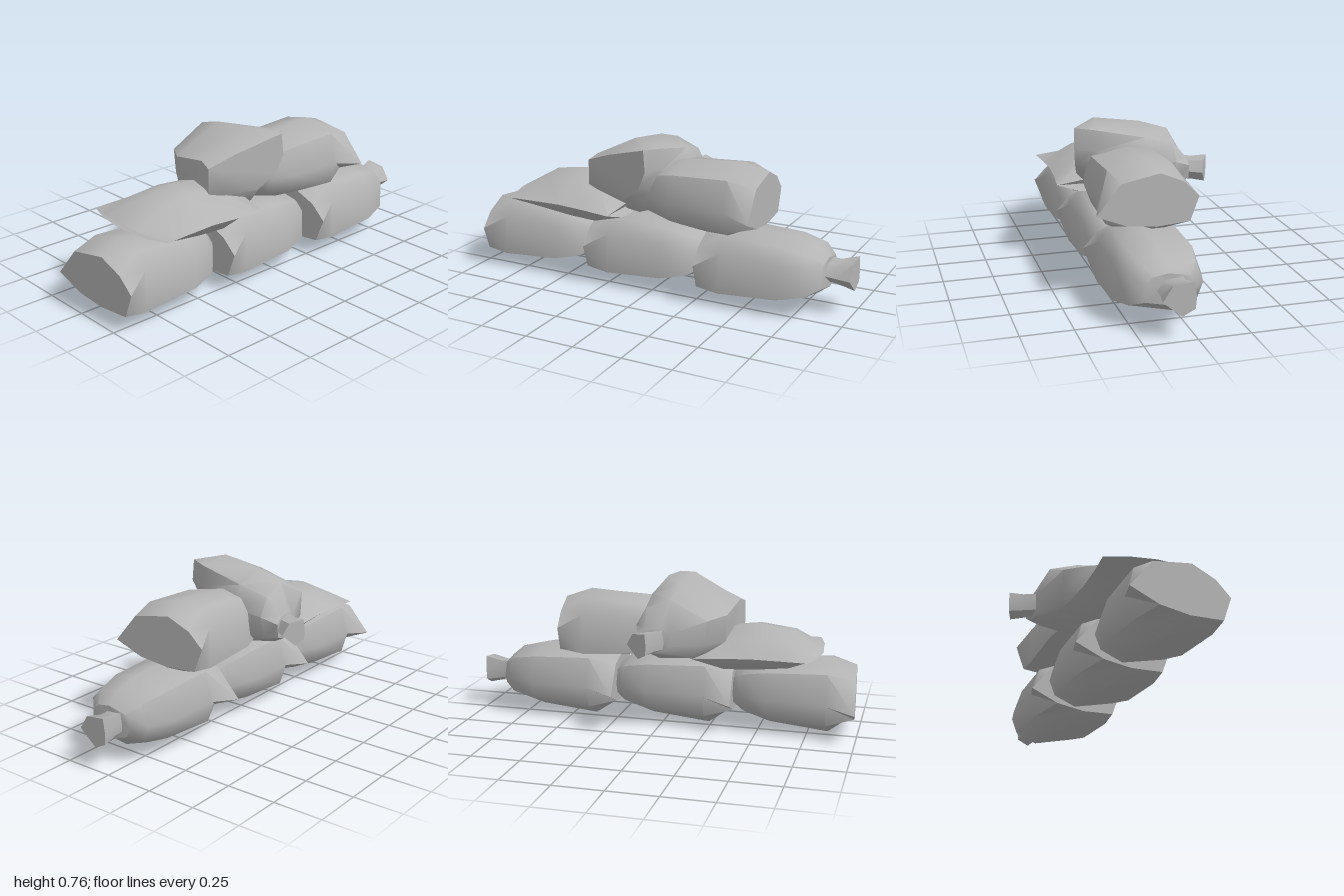
import * as THREE from 'three';
import { toCreasedNormals } from 'three/addons/utils/BufferGeometryUtils.js';

const cloth = new THREE.MeshStandardMaterial({ color: 0xb4b4b4 });
cloth.name = 'grey sackcloth';

// Skin a closed surface through rings of [x, y, z] points and cap both ends.
function loft(name, rings, crease = 0.85) {
  const n = rings[0].length, pos = [];
  const tri = (a, b, c) => pos.push(...a, ...b, ...c);
  for (let r = 0; r < rings.length - 1; r++) {
    for (let i = 0; i < n; i++) {
      const j = (i + 1) % n, A = rings[r], B = rings[r + 1];
      tri(A[i], A[j], B[j]);
      tri(A[i], B[j], B[i]);
    }
  }
  const first = rings[0], last = rings[rings.length - 1];
  for (let i = 1; i < n - 1; i++) {
    tri(first[0], first[i + 1], first[i]);
    tri(last[0], last[i], last[i + 1]);
  }
  // Turn the faces outward whichever way the rings run
  const p = (k) => new THREE.Vector3(pos[k], pos[k + 1], pos[k + 2]);
  let volume = 0;
  for (let k = 0; k < pos.length; k += 9) volume += p(k).dot(p(k + 3).cross(p(k + 6)));
  if (volume < 0) {
    for (let k = 0; k < pos.length; k += 9) {
      for (let c = 0; c < 3; c++) [pos[k + 3 + c], pos[k + 6 + c]] = [pos[k + 6 + c], pos[k + 3 + c]];
    }
  }
  const geo = new THREE.BufferGeometry();
  geo.setAttribute('position', new THREE.Float32BufferAttribute(pos, 3));
  const mesh = new THREE.Mesh(toCreasedNormals(geo, crease), cloth);
  mesh.name = name;
  return mesh;
}

// Sections as [z, y], used along the length of a filled sack
const END = [[-.255, .165], [-.135, .31], [.06, .343], [.18, .29], [.255, .215], [.21, .095], [.04, .085], [-.11, .105]];
const BODY = [[-.21, .19], [-.165, .34], [.02, .385], [.15, .357], [.21, .28], [.215, .08], [-.04, .008], [-.175, .078]];
const NECK = [[.075, .2], [.03, .27], [-.07, .283], [-.08, .21], [-.075, .155], [-.015, .125]];

// Scale a section about the sack's axis and place it at length x
const section = (shape, x, sz, sy, cy = .2, skew = 0) =>
  shape.map(([z, y]) => [x + skew * z, cy + (y - .2) * sy, z * sz]);

// Filled sack lying along +x: flared flat base, round body, tied neck
function sack(name) {
  const g = new THREE.Group();
  g.name = name;
  g.add(loft('sackBody', [
    section(END, .02, 1, 1, .2, .07),
    section(BODY, .15, 1, 1),
    section(BODY, .45, .99, .87, .205),
    section(BODY, .58, .83, .68, .208),
    section(BODY, .64, .54, .42, .205),
  ]));
  g.add(loft('sackNeck', [
    section(NECK, .61, .85, .7, .205),
    section(NECK, .68, .82, .72, .2),
    section(NECK, .765, 1, 1),
  ]));
  return g;
}

// Sack slumped across the top of the pile, running front to back
function crossSack() {
  const g = new THREE.Group();
  g.name = 'crossSack';
  const rings = [
    [.26, .29, -.2, [[-.385, .63], [-.385, .5], [-.31, .48], [-.13, .48], [-.04, .55], [0, .64], [-.01, .748], [-.25, .68]]],
    [.19, .2, -.12, [[-.37, .65], [-.37, .47], [-.29, .4], [-.1, .39], [.01, .5], [.04, .63], [.03, .74], [-.12, .771]]],
    [-.05, .1, -.12, [[-.345, .61], [-.34, .47], [-.24, .39], [-.02, .375], [.08, .45], [.1, .58], [.05, .69], [-.1, .742]]],
    [-.19, 0, 0, [[-.27, .6], [-.26, .48], [-.2, .41], [-.03, .4], [.06, .44], [.09, .56], [.04, .65], [-.08, .7]]],
    [-.26, -.1, -.04, [[-.1, .54], [-.1, .48], [-.06, .45], [0, .44], [.05, .46], [.06, .53], [.02, .56], [-.05, .57]]],
  ];
  g.add(loft('sackBody', rings.map(([z, skew, cx, pts]) => pts.map(([x, y]) => [x, y, z + skew * (x - cx)]))));
  const neck = loft('sackNeck', [
    section(NECK, 0, .7, .72, 0),
    section(NECK, .07, .68, .72, 0),
    section(NECK, .14, .8, .82, 0),
  ]);
  neck.position.set(-.02, .495, -.23);
  neck.rotation.y = 1.1;
  g.add(neck);
  return g;
}

// Half-empty sack flattened into a pillow with pinched corners
function flatSack() {
  const across = [[-1, 0], [-.6, .65], [-.1, 1], [.35, .85], [1, 0], [.6, -.85], [0, -1], [-.6, -.8]];
  const stations = [
    // x, half width, seam height, rise, drop, end bulge
    [-.765, .278, .42, .012, .012, -.045],
    [-.65, .265, .418, .1, .075, -.01],
    [-.48, .255, .416, .129, .1, 0],
    [-.33, .262, .41, .115, .1, 0],
    [-.185, .278, .405, .04, .04, .03],
  ];
  return loft('flatSack', stations.map(([x, w, y, up, down, bulge]) =>
    across.map(([t, h]) => [x + bulge * (1 - t * t), y + h * (h > 0 ? up : down), .093 + t * w])), 1);
}

export function createModel() {
  const model = new THREE.Group();
  model.name = 'sackPile';

  // Bottom row, each neck tucked into the next sack
  ['rightSack', 'middleSack', 'leftSack'].forEach((name, i) => {
    const s = sack(name);
    s.position.set(-1 + i * .617, 0, .09);
    model.add(s);
  });

  // Upper sack, turned end for end
  const upper = sack('upperSack');
  upper.position.set(.555, .297, .09);
  upper.rotation.y = Math.PI;
  model.add(upper);

  model.add(crossSack(), flatSack());
  return model;
}
